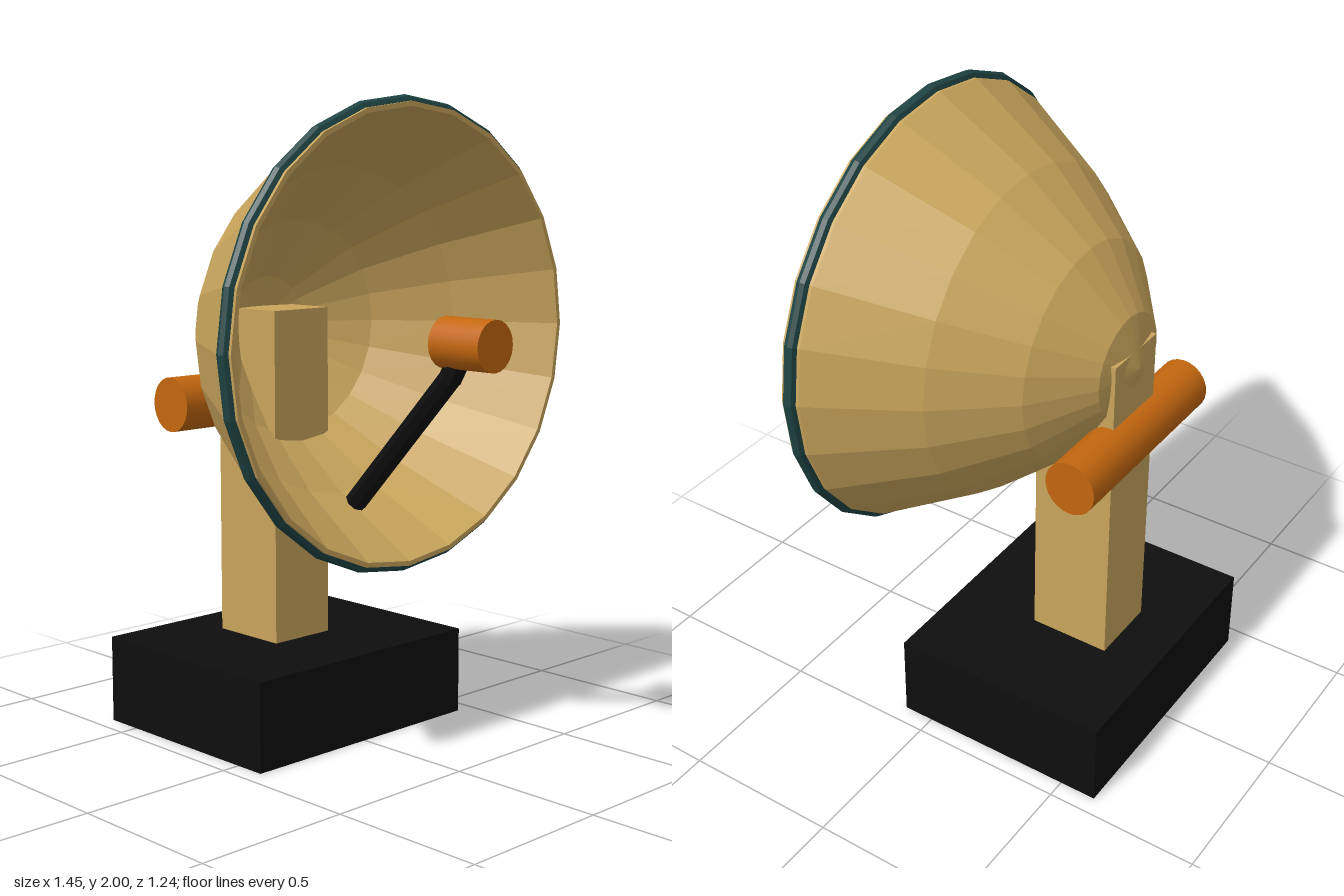
import * as THREE from 'three';

export function createModel() {
  const model = new THREE.Group();
  const material = (name, color, flatShading = false) => {
    const m = new THREE.MeshStandardMaterial({ color, flatShading });
    m.name = name;
    return m;
  };
  const tan = material('sand paint', 0xc9a55c, true);
  const orange = material('orange paint', 0xc4670f);
  const black = material('black', 0x0e0e0e, true);
  const teal = material('dark teal', 0x1f4444, true);

  const add = (name, geometry, mat, x, y, z, parent = model) => {
    const mesh = new THREE.Mesh(geometry, mat);
    mesh.name = name;
    mesh.position.set(x, y, z);
    parent.add(mesh);
    return mesh;
  };

  // Base and post
  add('base', new THREE.BoxGeometry(0.88, 0.28, 0.72), black, 0, 0.14, -0.26);
  add('post', new THREE.BoxGeometry(0.23, 1.065, 0.265), tan, 0, 0.8125, -0.3175);

  // Tilt axle across the back of the post
  const axle = new THREE.CylinderGeometry(0.082, 0.082, 0.66, 24).rotateZ(Math.PI / 2);
  add('axle', axle, orange, 0, 1.047, -0.437).scale.y = 1.06;

  // Faceted dish: outer shell, collar, then inner bowl
  const dish = new THREE.Group();
  dish.name = 'dish';
  dish.position.y = 1.2875;
  dish.scale.y = 0.983;
  model.add(dish);
  const profile = [
    [0, -0.465], [0.165, -0.425], [0.35, -0.287], [0.527, -0.072], [0.705, 0.23],
    [0.705, 0.29], [0.69, 0.29], [0.515, -0.005], [0.345, -0.215], [0.157, -0.345], [0, -0.385],
  ].map(([r, z]) => new THREE.Vector2(r, z));
  add('bowl', new THREE.LatheGeometry(profile, 24).rotateX(Math.PI / 2), tan, 0, 0, 0, dish);
  add('rim', new THREE.TorusGeometry(0.705, 0.02, 8, 24), teal, 0, 0, 0.26, dish);

  // Feed horn on a bent arm
  const feed = new THREE.CylinderGeometry(0.077, 0.077, 0.19, 20).rotateX(Math.PI / 2);
  add('feedHorn', feed, orange, 0, 1.285, 0.525);

  const rod = (name, a, b) => {
    const dir = b.clone().sub(a);
    const mid = a.clone().add(b).multiplyScalar(0.5);
    const mesh = add(name, new THREE.CylinderGeometry(0.035, 0.035, dir.length(), 8), black, mid.x, mid.y, mid.z);
    mesh.quaternion.setFromUnitVectors(new THREE.Vector3(0, 1, 0), dir.normalize());
  };
  const elbow = new THREE.Vector3(0, 1.185, 0.453);
  rod('feedArm', new THREE.Vector3(0, 0.76, 0.06), elbow);
  rod('feedArmTip', elbow.clone().add(new THREE.Vector3(0, -0.012, -0.008)), new THREE.Vector3(0, 1.26, 0.495));

  return model;
}
